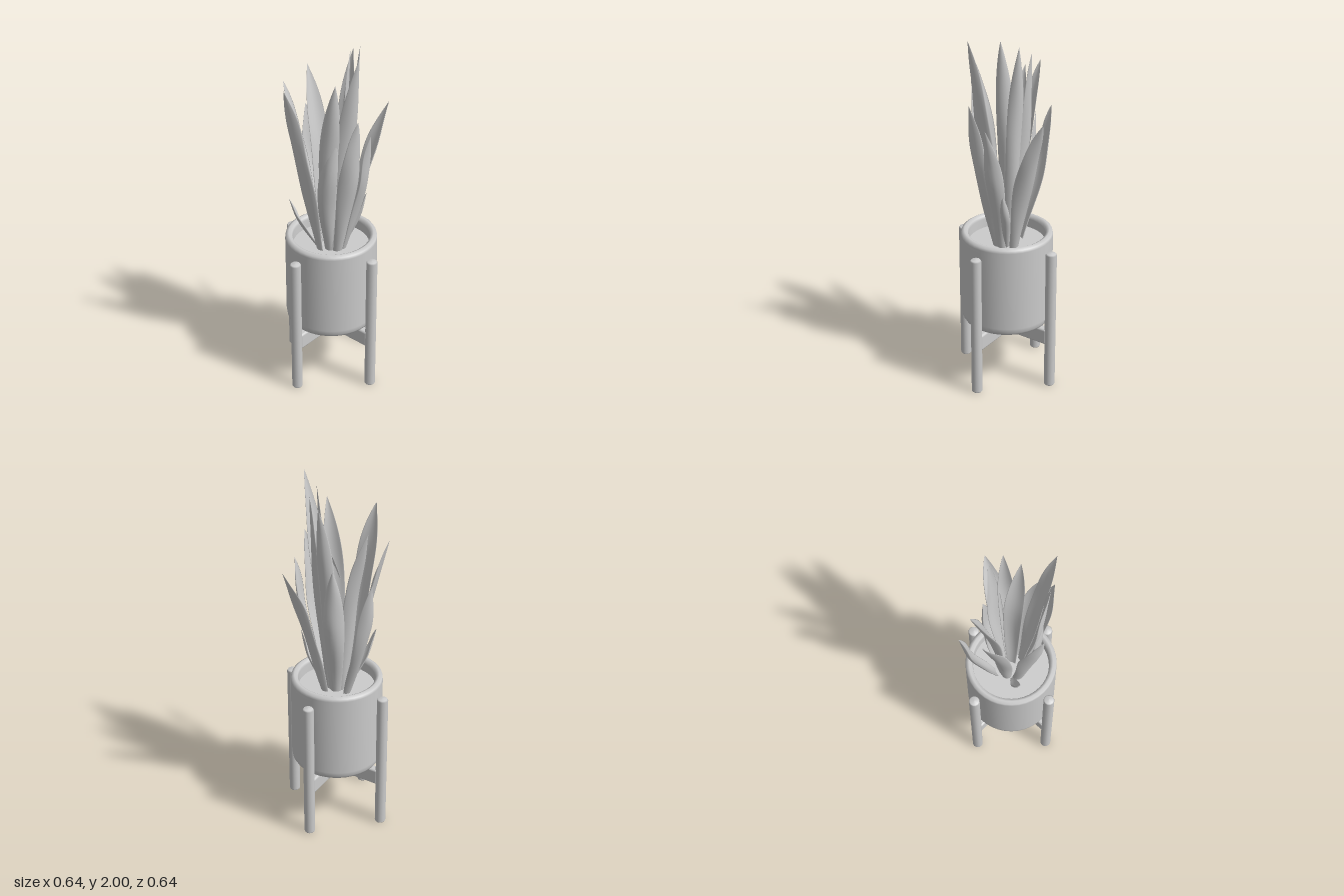
import * as THREE from 'three';
import { ParametricGeometry } from 'three/addons/geometries/ParametricGeometry.js';
import { RoundedBoxGeometry } from 'three/addons/geometries/RoundedBoxGeometry.js';

const grey = new THREE.MeshStandardMaterial({ color: 0xcccccc });
const leafGrey = new THREE.MeshStandardMaterial({ color: 0xcccccc, side: THREE.DoubleSide });
const SOIL_Y = 0.81;

function add(parent, name, geometry, material = grey) {
  const mesh = new THREE.Mesh(geometry, material);
  mesh.name = name;
  parent.add(mesh);
  return mesh;
}

function lathe(points, segments) {
  return new THREE.LatheGeometry(points.map(p => new THREE.Vector2(...p)), segments);
}

// A cupped sword-shaped blade, rooted near the centre and facing outward.
function leafGeometry(midX, midZ, tipX, tipY, tipZ, halfWidth, seed) {
  const curve = new THREE.CatmullRomCurve3([
    new THREE.Vector3(midX * 0.4, SOIL_Y - 0.01, midZ * 0.4),
    new THREE.Vector3(midX, THREE.MathUtils.lerp(SOIL_Y, tipY, 0.55), midZ),
    new THREE.Vector3(tipX, tipY, tipZ),
  ]);
  const facing = Math.atan2(midX, midZ);
  return new ParametricGeometry((u, v, target) => {
    const t = 1 - (1 - v) ** 1.2;
    const twist = facing + 0.35 * (t - 0.5) * Math.sin(seed * 2.4);
    const tangent = curve.getTangent(t);
    const side = new THREE.Vector3(Math.cos(twist), 0, -Math.sin(twist));
    side.addScaledVector(tangent, -side.dot(tangent)).normalize();
    const outward = side.clone().cross(tangent);
    const width = halfWidth * 1.17 * (0.4 + 1.25 * t) * (1 - t ** 2.5);
    const a = u * Math.PI * 2;
    const across = Math.cos(a);
    const ripple = 0.1 * width * across * Math.sin(t * 11 + seed * 1.7);
    const cup = -0.4 * width * across * across;
    const thick = -0.007 * Math.sin(a) * (1 - t ** 3);
    target.copy(curve.getPoint(t))
      .addScaledVector(side, width * across)
      .addScaledVector(outward, cup + ripple + thick);
  }, 16, 28);
}

export function createModel() {
  const model = new THREE.Group();
  model.name = 'pottedPlant';

  // Pot: straight wall, soft lower edge, rolled rim, hollow top
  add(model, 'pot', lathe([
    [0, 0.355], [0.225, 0.355], [0.238, 0.36], [0.247, 0.375], [0.25, 0.4],
    [0.25, 0.86], [0.247, 0.876], [0.23, 0.886], [0.213, 0.876], [0.21, 0.86], [0.208, 0.78],
  ], 40));
  const soil = add(model, 'soil', new THREE.CircleGeometry(0.21, 40));
  soil.rotation.x = -Math.PI / 2;
  soil.position.y = SOIL_Y;

  // Stand: four round posts and two crossing rails
  const stand = new THREE.Group();
  stand.name = 'stand';
  model.add(stand);
  const legGeometry = lathe([[0, 0], [0.026, 0], [0.03, 0.006], [0.03, 0.812], [0.025, 0.82], [0, 0.823]], 12);
  for (let i = 0; i < 4; i++) {
    const a = i * Math.PI / 2;
    const leg = add(stand, 'leg', legGeometry);
    leg.position.set(0.288 * Math.sin(a), 0, 0.288 * Math.cos(a));
  }
  for (let i = 0; i < 2; i++) {
    const rail = add(stand, 'crossRail', new RoundedBoxGeometry(0.55, 0.095, 0.046, 3, 0.012));
    rail.position.y = 0.303;
    rail.rotation.y = i * Math.PI / 2;
  }

  // Leaves: middle x, z; tip x, y, z; half width
  const leaves = [
    [-0.05, 0.20, -0.07, 1.81, 0.28, 0.07],
    [-0.16, 0.07, -0.27, 1.73, 0.07, 0.055],
    [-0.12, -0.03, -0.22, 1.8, -0.06, 0.06],
    [-0.22, -0.08, -0.27, 1.54, -0.1, 0.05],
    [-0.01, -0.12, 0.01, 1.92, -0.16, 0.05],
    [0.06, -0.04, 0.1, 1.98, -0.03, 0.05],
    [0.07, -0.1, 0.08, 1.96, -0.13, 0.045],
    [0.15, 0.05, 0.24, 2, 0.07, 0.055],
    [0.185, 0.06, 0.24, 1.66, 0.07, 0.06],
    [0.19, -0.05, 0.24, 1.54, -0.03, 0.05],
    [0.09, 0.12, 0.14, 1.85, 0.13, 0.055],
    [0.08, 0.13, 0.12, 1.56, 0.11, 0.05],
    [0.09, -0.19, 0.13, 1.6, -0.31, 0.06],
    [-0.06, -0.13, -0.06, 1.58, -0.14, 0.055],
    [-0.11, 0.14, -0.14, 1.12, 0.18, 0.025],
    [0.13, -0.08, 0.17, 1.16, -0.09, 0.025],
  ];
  const plant = new THREE.Group();
  plant.name = 'plant';
  model.add(plant);
  leaves.forEach((leaf, i) => add(plant, 'leaf', leafGeometry(...leaf, i + 1), leafGrey));

  return model;
}
